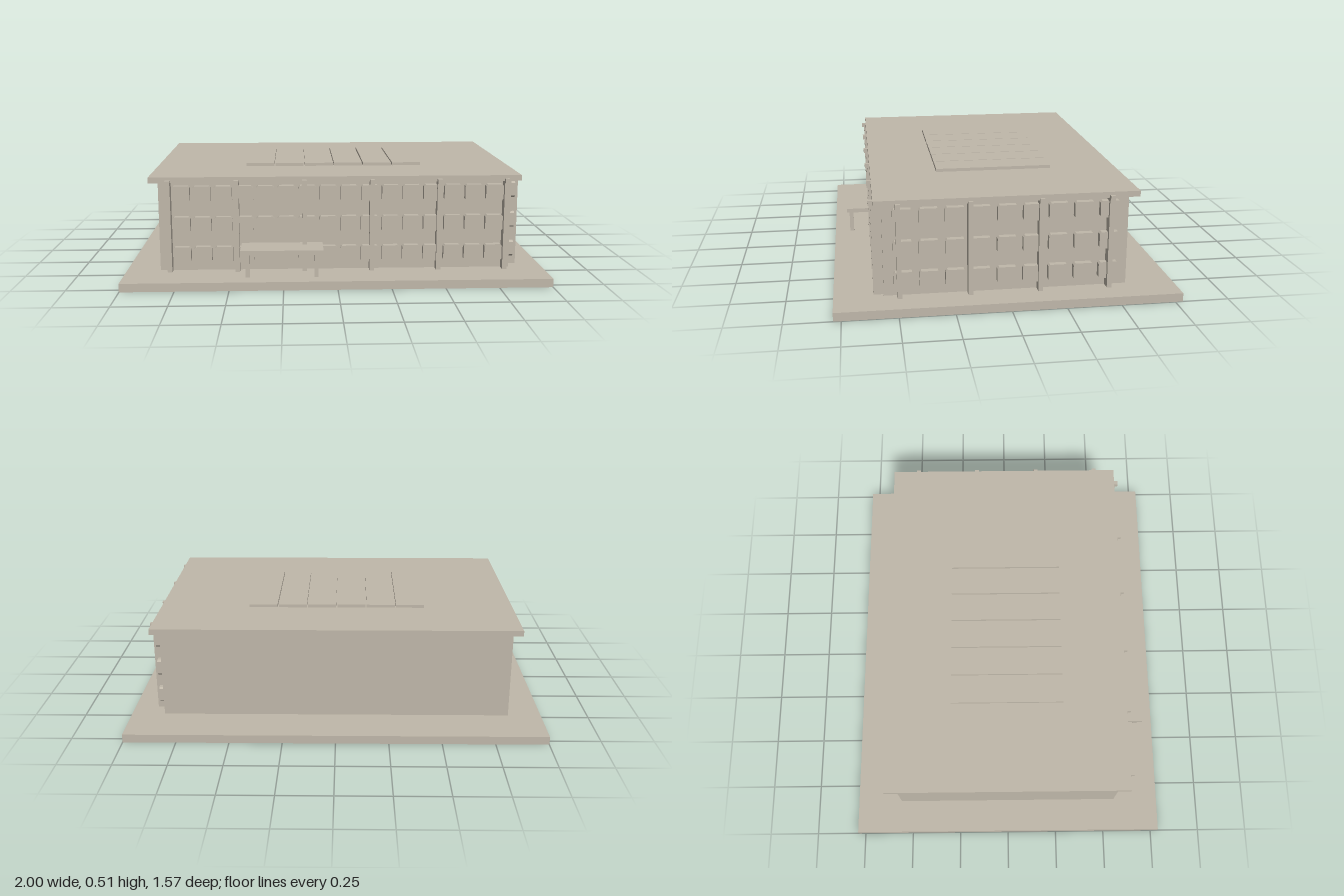
import * as THREE from 'three';

export function createModel() {
  const model = new THREE.Group();
  model.name = 'officeBuilding';
  const concrete = new THREE.MeshStandardMaterial({ color: 0xc0b8aa });
  concrete.name = 'concrete';

  // Box given by its min and max corners
  function box(name, parent, [x0, y0, z0], [x1, y1, z1]) {
    const mesh = new THREE.Mesh(new THREE.BoxGeometry(x1 - x0, y1 - y0, z1 - z0), concrete);
    mesh.position.set((x0 + x1) / 2, (y0 + y1) / 2, (z0 + z1) / 2);
    mesh.name = name;
    parent.add(mesh);
    return mesh;
  }

  // Projecting window box with clipped corners
  function windowGeometry(w, h, depth) {
    const c = 0.008, a = w / 2, b = h / 2;
    const shape = new THREE.Shape([
      [-a + c, -b], [a - c, -b], [a, -b + c], [a, b - c],
      [a - c, b], [-a + c, b], [-a, b - c], [-a, -b + c],
    ].map(([x, y]) => new THREE.Vector2(x, y)));
    return new THREE.ExtrudeGeometry(shape, { depth, bevelEnabled: false });
  }

  // Main masses
  box('basePlate', model, [-1, 0, -0.785], [1, 0.04, 0.785]);
  box('walls', model, [-0.84, 0.04, -0.56], [0.84, 0.475, 0.56]);
  box('roof', model, [-0.88, 0.47, -0.6], [0.88, 0.497, 0.597]);

  // Raised roof panels
  for (let i = 0; i < 6; i++) {
    const x = -0.44 + i * 0.1467;
    box('roofPanel', model, [x + 0.003, 0.497, -0.28], [x + 0.1437, 0.512, 0.28]);
  }

  // A facade faces +z in its own frame, with its wall at z = 0
  function facade(name, columns, first, last, count, width) {
    const group = new THREE.Group();
    group.name = name;
    for (const x of columns) {
      box('column', group, [x - 0.011, 0.04, 0], [x + 0.011, 0.482, 0.046]);
      box('columnCap', group, [x - 0.011, 0.46, 0.03], [x + 0.011, 0.482, 0.058]);
    }
    const geometry = windowGeometry(width, 0.078, 0.03);
    for (const y of [0.12, 0.265, 0.413]) {
      for (let i = 0; i < count; i++) {
        const pane = new THREE.Mesh(geometry, concrete);
        pane.name = 'windowBox';
        pane.position.set(first + (last - first) * i / (count - 1), y, 0);
        group.add(pane);
      }
    }
    model.add(group);
    return group;
  }

  facade('frontFacade', [-0.79, -0.47, -0.15, 0.17, 0.49, 0.81],
    -0.732, 0.756, 16, 0.084).position.z = 0.56;
  const side = facade('leftFacade', [-0.49, -0.17, 0.15, 0.47], -0.47, 0.468, 9, 0.092);
  side.rotation.y = Math.PI / 2;
  side.position.x = 0.84;

  // Entrance canopy
  const porch = new THREE.Group();
  porch.name = 'entrancePorch';
  box('canopy', porch, [-0.45, 0.15, 0.56], [-0.064, 0.171, 0.72]);
  for (const x of [-0.417, -0.097]) {
    box('canopyPost', porch, [x - 0.01, 0.04, 0.686], [x + 0.01, 0.15, 0.707]);
  }
  model.add(porch);
  return model;
}
